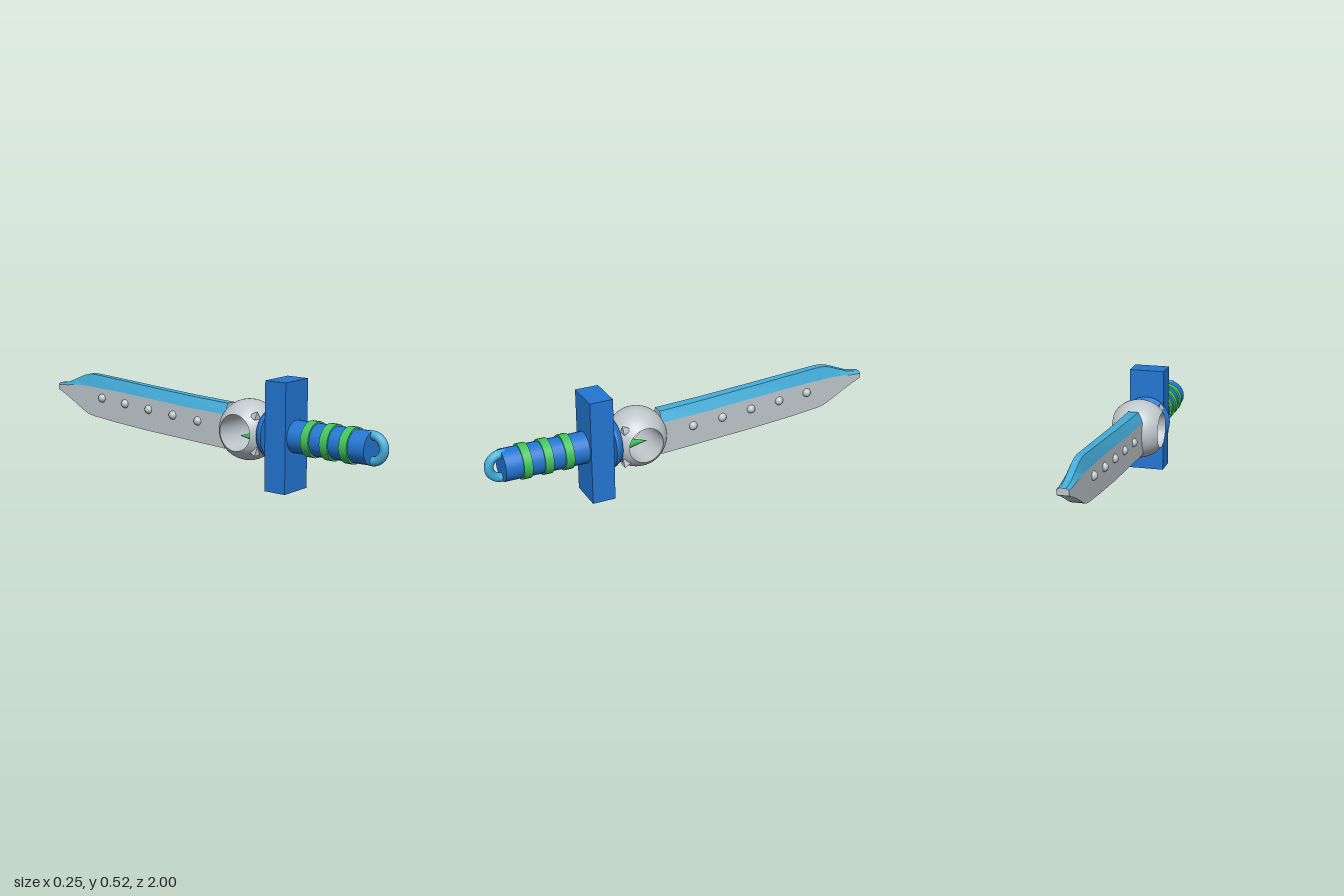
import * as THREE from 'three';

const flat = (name, color) => Object.assign(new THREE.MeshStandardMaterial({ color }), { name });
const CY = 0.26; // height of the long axis

export function createModel() {
  const blue = flat('blue', 0x2277d4);
  const sky = flat('sky blue', 0x43aedb);
  const green = flat('green', 0x40c65e);
  const grey = flat('light grey', 0xbfc8cc);
  const root = new THREE.Group();
  root.name = 'sword';

  const add = (name, geo, mat, x = 0, y = CY, z = 0, parent = root) => {
    const m = new THREE.Mesh(geo, mat);
    m.name = name;
    m.position.set(x, y, z);
    parent.add(m);
    return m;
  };
  // cylinder lying along z; rFront is the +z end
  const rod = (rFront, rBack, len, seg = 24) =>
    new THREE.CylinderGeometry(rFront, rBack, len, seg).rotateX(Math.PI / 2);

  // handle with raised bands and pommel loop
  add('grip', rod(0.077, 0.077, 0.42), blue, 0, CY, 0.71);
  for (const z of [0.61, 0.712, 0.815]) add('gripBand', rod(0.085, 0.085, 0.042), green, 0, CY, z);
  add('pommelLoop', new THREE.TorusGeometry(0.059, 0.022, 12, 32).rotateY(Math.PI / 2), sky, 0, CY, 0.919);

  // crossguard and its collar
  add('crossguard', new THREE.BoxGeometry(0.176, 0.52, 0.115), blue, 0, CY, 0.4525);
  add('collarRim', rod(0.123, 0.123, 0.012, 32), blue, 0, CY, 0.389);
  add('collarBevel', rod(0.123, 0.106, 0.026, 32), blue, 0, CY, 0.37);

  // ball pierced from side to side
  const ball = new THREE.Group();
  ball.name = 'piercedBall';
  ball.position.set(0, CY, 0.242);
  root.add(ball);
  const R = 0.146, H = 0.117, a = Math.asin(H / R), hole = R * Math.cos(a);
  const arc = [];
  for (let i = 0; i <= 20; i++) {
    const t = -a + (2 * a * i) / 20;
    arc.push(new THREE.Vector2(R * Math.cos(t), R * Math.sin(t)));
  }
  add('ballShell', new THREE.LatheGeometry(arc, 48).rotateZ(Math.PI / 2), grey, 0, 0, 0, ball);
  const bore = [new THREE.Vector2(hole, H), new THREE.Vector2(hole, -H)];
  add('ballBore', new THREE.LatheGeometry(bore, 48).rotateZ(Math.PI / 2), grey, 0, 0, 0, ball);

  // small pyramids on the ball beside the collar
  for (const sx of [-1, 1]) for (const sy of [-1, 1]) {
    const g = new THREE.ConeGeometry(0.026, 0.05, 3).toNonIndexed();
    g.computeVertexNormals();
    const p = add('cornerSpike', g, grey, sx * 0.085, sy * 0.085, 0.083, ball);
    p.rotation.set(-Math.PI / 2, 0, 0);
  }

  // pieces inside the ball
  add('innerBeadLarge', new THREE.SphereGeometry(0.027, 16, 12), grey, 0, 0.046, 0.038, ball);
  add('innerBeadSmall', new THREE.SphereGeometry(0.018, 16, 12), grey, 0, 0.046, -0.004, ball);
  const spike = add('innerSpike', new THREE.ConeGeometry(0.032, 0.125, 16), green, 0, -0.034, 0.006, ball);
  spike.rotation.x = -Math.PI / 2 - 0.06;

  // blade cross-sections: z, top, bevel edge, bottom, half width
  const sections = [
    [0.13, 0.375, 0.325, 0.16, 0.05],
    [-0.1, 0.385, 0.331, 0.17, 0.045],
    [-0.35, 0.4, 0.346, 0.181, 0.041],
    [-0.58, 0.415, 0.357, 0.196, 0.037],
    [-0.74, 0.425, 0.362, 0.21, 0.034],
    [-0.78, 0.425, 0.363, 0.217, 0.033],
    [-0.82, 0.415, 0.363, 0.235, 0.032],
    [-0.88, 0.39, 0.36, 0.268, 0.031],
    [-0.93, 0.369, 0.353, 0.294, 0.03],
    [-0.97, 0.361, 0.35, 0.312, 0.029],
    [-1, 0.357, 0.349, 0.325, 0.028],
  ].map(([z, top, edge, bot, w]) => [
    [-w * 0.5, top, z], [w * 0.5, top, z], [w, edge, z],
    [w, bot, z], [-w, bot, z], [-w, edge, z],
  ]);
  const skin = (sides, caps) => {
    const pos = [];
    const tri = (...p) => p.forEach((v) => pos.push(...v));
    for (let i = 0; i < sections.length - 1; i++) for (const k of sides) {
      const n = (k + 1) % 6, s = sections[i], e = sections[i + 1];
      tri(s[k], s[n], e[n]);
      tri(s[k], e[n], e[k]);
    }
    if (caps) for (let k = 1; k < 5; k++) {
      const s = sections[0], e = sections[sections.length - 1];
      tri(s[0], s[k + 1], s[k]);
      tri(e[0], e[k], e[k + 1]);
    }
    const g = new THREE.BufferGeometry();
    g.setAttribute('position', new THREE.Float32BufferAttribute(pos, 3));
    g.computeVertexNormals();
    return g;
  };
  add('bladeSpine', skin([5, 0, 1], false), sky, 0, 0);
  add('bladeBody', skin([2, 3, 4], true), grey, 0, 0);

  // rivets along both faces of the blade
  for (let i = 0; i < 5; i++) for (const s of [-1, 1]) {
    add('rivet', new THREE.SphereGeometry(0.022, 16, 12), grey,
      s * (0.043 - i * 0.0022), 0.272 + i * 0.0085 + i * i * 0.0003, -0.038 - i * 0.16);
  }
  return root;
}
